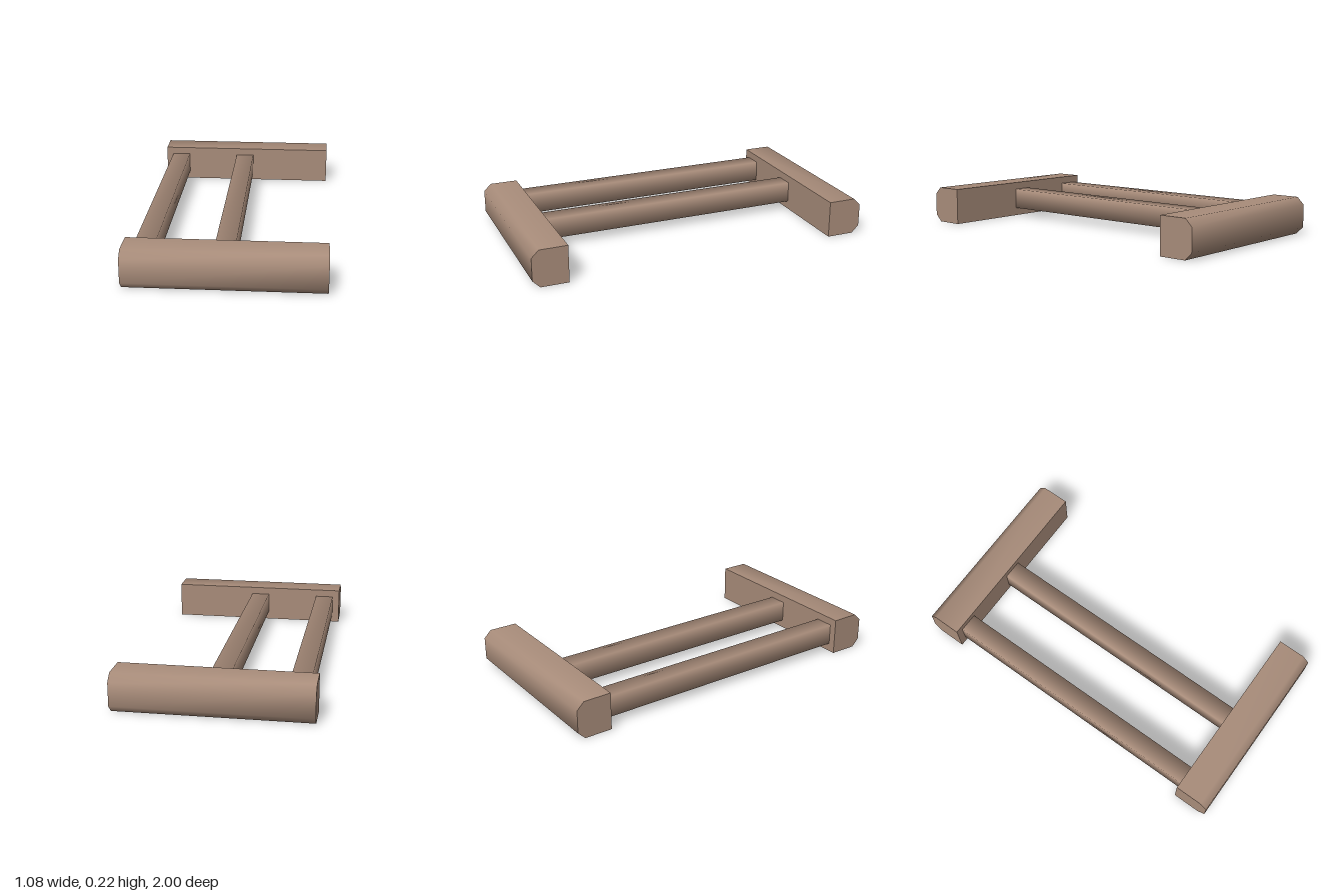
import * as THREE from 'three';
import { toCreasedNormals } from 'three/addons/utils/BufferGeometryUtils.js';

export function createModel() {
  const model = new THREE.Group();
  model.name = 'barFrame';
  const wood = new THREE.MeshStandardMaterial({ color: 0xa88c7a });
  wood.name = 'brown';

  // End beam profile (z, y): square inside, chamfered and softly shaded outside
  const length = 1.08, height = 0.215, inner = 0.797, chamfer = 0.042;
  const profile = new THREE.Shape([
    [inner, 0], [1 - chamfer, 0], [1, chamfer],
    [1, height - chamfer], [1 - chamfer, height], [inner, height],
  ].map(([z, y]) => new THREE.Vector2(z, y)));
  const beamGeometry = toCreasedNormals(
    new THREE.ExtrudeGeometry(profile, { depth: length, bevelEnabled: false })
      .translate(0, 0, -length / 2)
      .rotateY(-Math.PI / 2),
    Math.PI * 0.28
  );
  [['frontBeam', 0], ['backBeam', Math.PI]].forEach(([name, turn]) => {
    const beam = new THREE.Mesh(beamGeometry, wood);
    beam.name = name;
    beam.rotation.y = turn;
    model.add(beam);
  });

  // Four-sided connecting bars with smooth normals around the section
  const barGeometry = new THREE.CylinderGeometry(Math.SQRT1_2, Math.SQRT1_2, inner * 2 + 0.01, 4, 1, false, Math.PI / 4)
    .rotateX(Math.PI / 2)
    .scale(0.112, 0.123, 1);
  [['outerBar', -0.442], ['middleBar', -0.01]].forEach(([name, x]) => {
    const bar = new THREE.Mesh(barGeometry, wood);
    bar.name = name;
    bar.position.set(x, 0.11, 0);
    model.add(bar);
  });

  return model;
}
